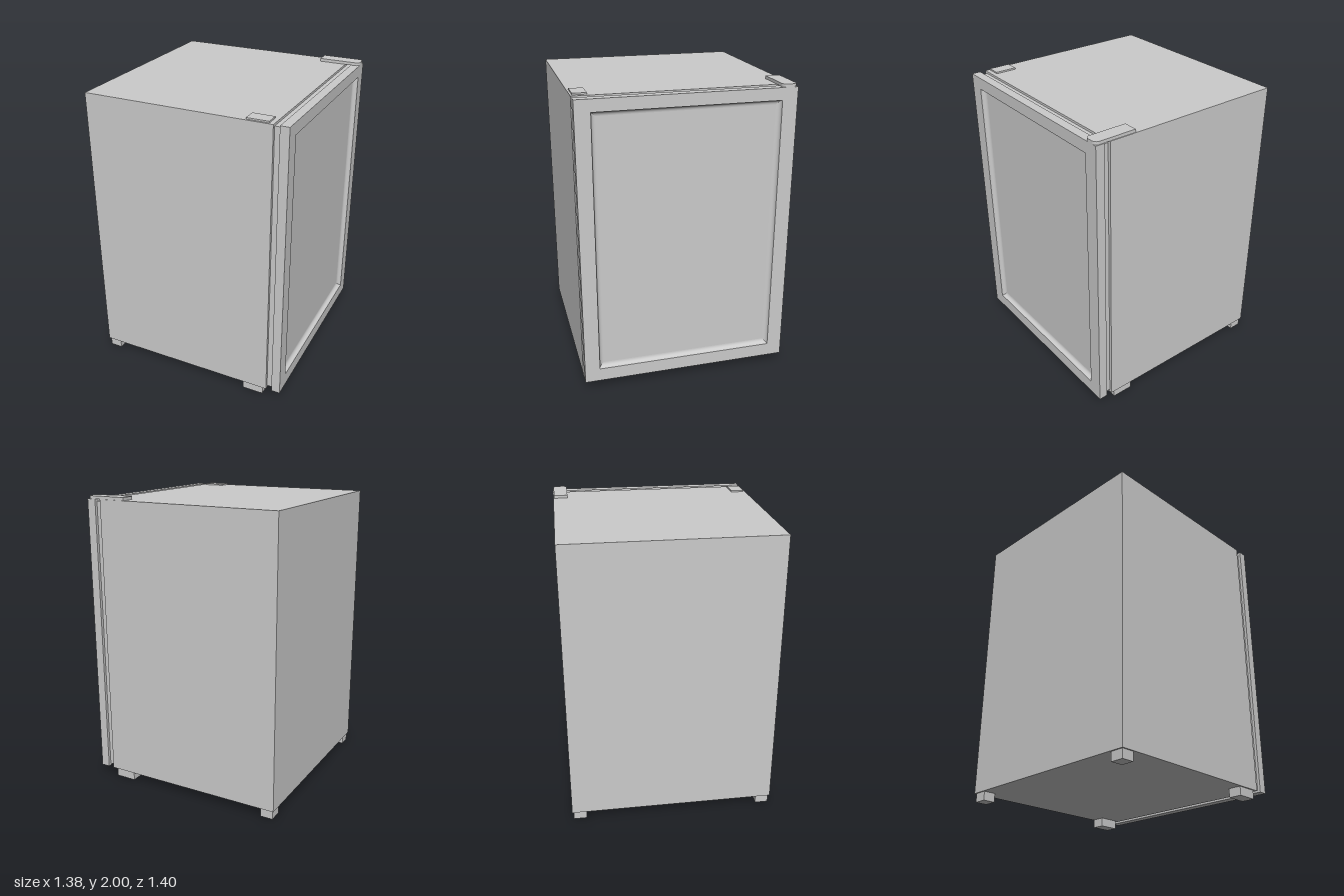
import * as THREE from 'three';

const grey = new THREE.MeshStandardMaterial({ color: 0xcccccc });

function add(parent, name, geometry) {
  const mesh = new THREE.Mesh(geometry, grey);
  mesh.name = name;
  parent.add(mesh);
  return mesh;
}

// Box given by its minimum and maximum on each axis
function block(parent, name, [x0, x1], [y0, y1], [z0, z1]) {
  const mesh = add(parent, name, new THREE.BoxGeometry(x1 - x0, y1 - y0, z1 - z0));
  mesh.position.set((x0 + x1) / 2, (y0 + y1) / 2, (z0 + z1) / 2);
  return mesh;
}

function rectangle(target, w, y0, y1) {
  target.moveTo(-w, y0);
  target.lineTo(w, y0);
  target.lineTo(w, y1);
  target.lineTo(-w, y1);
  target.closePath();
  return target;
}

// One mitred, concave rounded strip along a side of the door recess
function coveSide(side, w, y0, y1, top, radius) {
  const steps = 8, positions = [], index = [];
  for (let i = 0; i <= steps; i++) {
    const a = (i / steps) * Math.PI / 2;
    const inset = radius * (1 - Math.cos(a));
    const depth = top - radius * Math.sin(a);
    const u = w - inset, b = y0 + inset, t = y1 - inset;
    const corners = [[-u, b], [u, b], [u, t], [-u, t]];
    positions.push(...corners[side], depth, ...corners[(side + 1) % 4], depth);
    if (i < steps) {
      const k = i * 2;
      index.push(k, k + 1, k + 3, k, k + 3, k + 2);
    }
  }
  const geometry = new THREE.BufferGeometry();
  geometry.setAttribute('position', new THREE.Float32BufferAttribute(positions, 3));
  geometry.setIndex(index);
  geometry.computeVertexNormals();
  return geometry;
}

export function createModel() {
  const model = new THREE.Group();
  model.name = 'miniFridge';

  // Cabinet and the door seal
  block(model, 'cabinet', [-0.69, 0.59], [0.06, 1.98], [-0.7, 0.7]);
  block(model, 'doorSeal', [0.59, 0.63], [0.075, 1.965], [-0.68, 0.68]);

  // Door: built facing +z, then turned to face +x
  const door = new THREE.Group();
  door.name = 'door';
  door.rotation.y = Math.PI / 2;
  model.add(door);
  const outline = rectangle(new THREE.Shape(), 0.7, 0.06, 1.98);
  outline.holes.push(rectangle(new THREE.Path(), 0.6, 0.15, 1.9));
  const frame = new THREE.ExtrudeGeometry(outline, { depth: 0.06, bevelEnabled: false });
  add(door, 'doorFrame', frame).position.z = 0.63;
  block(door, 'doorPanel', [-0.6, 0.6], [0.15, 1.9], [0.63, 0.66]);
  for (let side = 0; side < 4; side++) {
    add(door, 'recessCove', coveSide(side, 0.6, 0.15, 1.9, 0.69, 0.03));
  }

  // Top hinge plate, rounded at its outer end
  const plate = new THREE.Shape();
  plate.moveTo(0.405, 0.6);
  plate.lineTo(0.66, 0.6);
  plate.absarc(0.66, 0.63, 0.03, -Math.PI / 2, 0);
  plate.absarc(0.66, 0.665, 0.03, 0, Math.PI / 2);
  plate.lineTo(0.405, 0.695);
  plate.closePath();
  const hinge = add(model, 'hingePlate',
    new THREE.ExtrudeGeometry(plate, { depth: 0.02, bevelEnabled: false, curveSegments: 8 }));
  hinge.rotation.x = -Math.PI / 2;
  hinge.position.y = 1.98;

  // Cover over the unused hinge position
  block(model, 'hingeCover', [0.415, 0.56], [1.98, 1.99], [0.597, 0.687]);

  // Feet
  for (const z of [[0.6, 0.69], [-0.69, -0.6]]) {
    block(model, 'doorSideFoot', [0.415, 0.56], [0, 0.06], z);
    block(model, 'rearFoot', [-0.68, -0.595], [0, 0.06], z);
  }
  return model;
}
